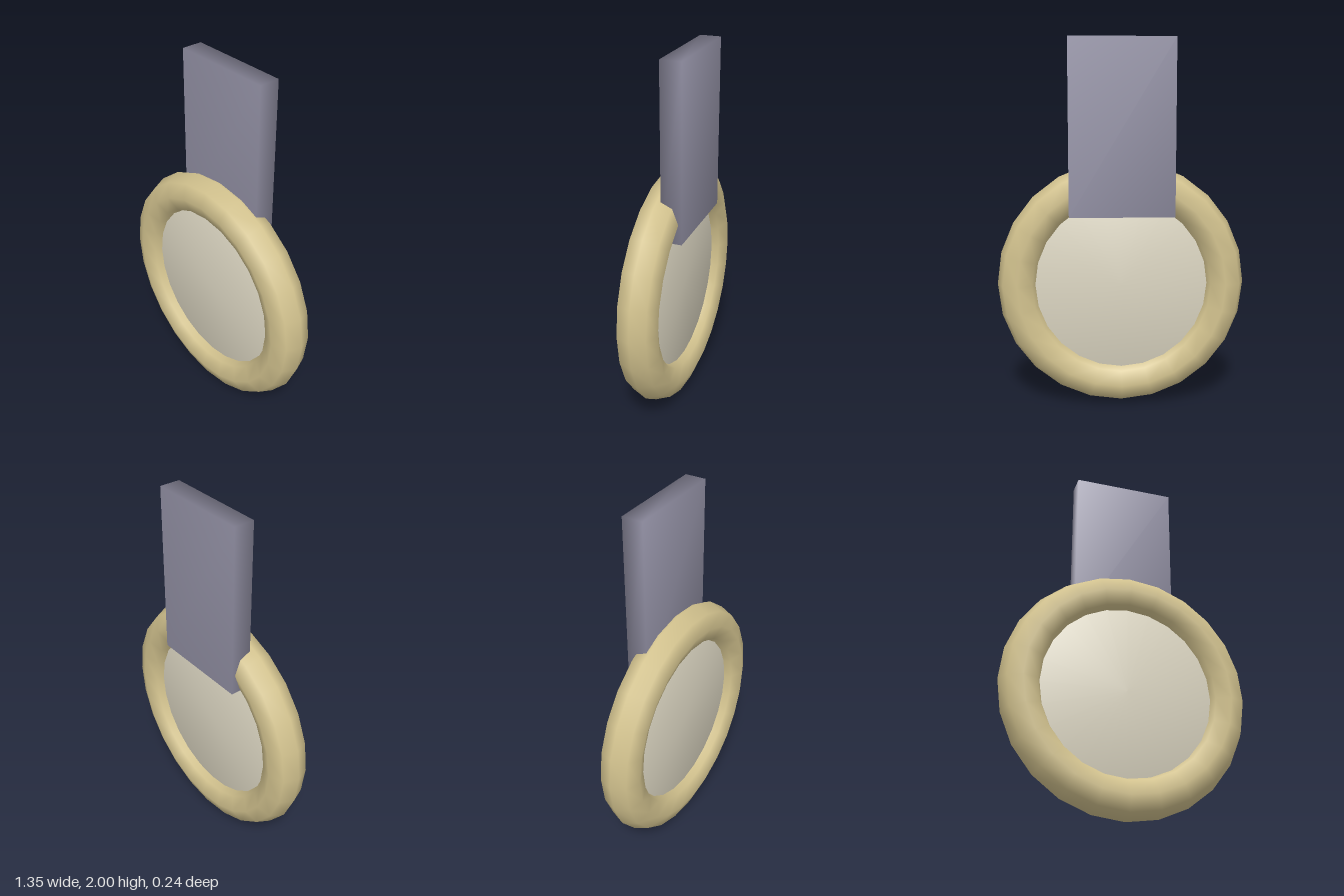
import * as THREE from 'three';
import { mergeVertices } from 'three/addons/utils/BufferGeometryUtils.js';

// Share vertices across edges so the shading rolls softly around corners
function soften(geometry) {
  geometry.deleteAttribute('normal');
  geometry.deleteAttribute('uv');
  const merged = mergeVertices(geometry, 1e-4);
  merged.computeVertexNormals();
  return merged;
}

function material(name, color) {
  const m = new THREE.MeshStandardMaterial({ color });
  m.name = name;
  return m;
}

export function createModel() {
  const group = new THREE.Group();
  group.name = 'medal';

  const add = (name, geometry, mat, x, y, z) => {
    const mesh = new THREE.Mesh(geometry, mat);
    mesh.name = name;
    mesh.position.set(x, y, z);
    group.add(mesh);
  };

  const gold = material('pale gold', 0xd2c28e);
  const ivory = material('ivory', 0xddd7c3);
  const ribbon = material('grey violet', 0x9391a5);

  // Rim ring
  add('rim', new THREE.TorusGeometry(0.565, 0.112, 8, 24), gold, 0, 0.68, 0.006);

  // Face disc, its edge sunk into the rim
  const disc = new THREE.CylinderGeometry(0.5, 0.5, 0.08, 24).rotateX(Math.PI / 2);
  add('disc', soften(disc), ivory, 0, 0.68, 0.006);

  // Flat ribbon behind the rim
  add('ribbon', soften(new THREE.BoxGeometry(0.566, 0.94, 0.113)), ribbon, 0, 1.53, -0.068);

  return group;
}
